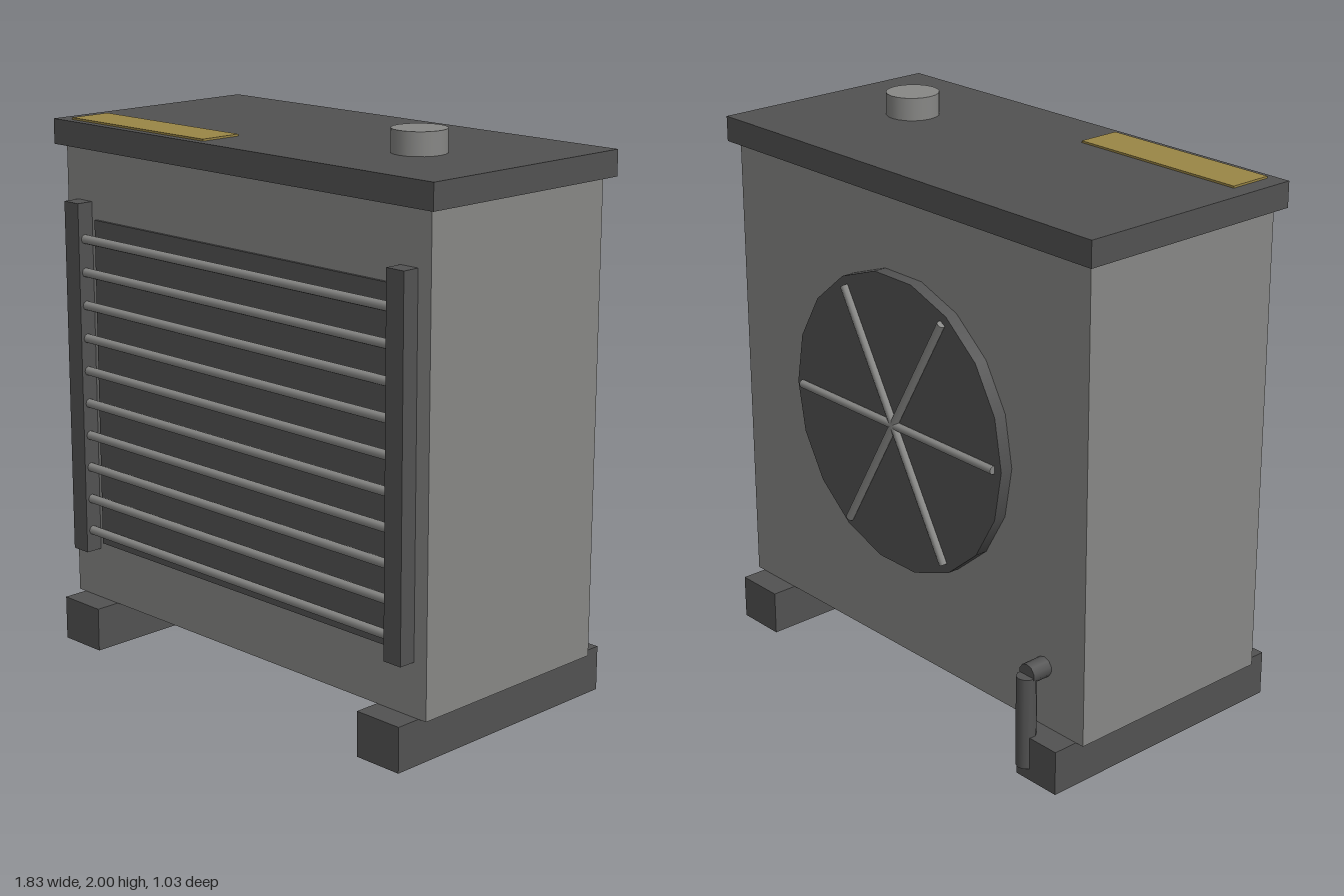
import * as THREE from 'three';

export function createModel() {
  const model = new THREE.Group();
  model.name = 'heatPumpUnit';

  const casingGrey = new THREE.MeshStandardMaterial({ name: 'casingGrey', color: 0x878785 });
  const darkGrey = new THREE.MeshStandardMaterial({ name: 'darkGrey', color: 0x525252 });
  const brass = new THREE.MeshStandardMaterial({ name: 'brass', color: 0x9a8646 });

  const add = (name, geometry, material, x, y, z, parent = model) => {
    const mesh = new THREE.Mesh(geometry, material);
    mesh.name = name;
    mesh.position.set(x, y, z);
    parent.add(mesh);
    return mesh;
  };
  // Box given by its lower and upper corners
  const box = (name, material, [x0, y0, z0], [x1, y1, z1]) =>
    add(name, new THREE.BoxGeometry(x1 - x0, y1 - y0, z1 - z0), material,
      (x0 + x1) / 2, (y0 + y1) / 2, (z0 + z1) / 2);

  // Casing and overhanging lid
  box('casing', casingGrey, [-0.88, 0.16, -0.4], [0.88, 1.83, 0.42]);
  box('lid', darkGrey, [-0.913, 1.83, -0.432], [0.913, 1.92, 0.45]);

  // Lid fittings: name plate and round cap
  box('lidPlate', brass, [-0.847, 1.92, 0.26], [-0.157, 1.927, 0.42]);
  add('lidCap', new THREE.CylinderGeometry(0.094, 0.094, 0.08, 20), casingGrey, 0.5, 1.96, 0.072);

  // Skid feet and the upright rails of the front grille
  for (const [side, s] of [['left', 1], ['right', -1]]) {
    add(side + 'Foot', new THREE.BoxGeometry(0.186, 0.16, 1.005), darkGrey, s * 0.754, 0.08, 0.01);
    add(side + 'GrilleRail', new THREE.BoxGeometry(0.075, 1.29, 0.07), darkGrey, s * 0.787, 0.995, 0.448);
  }

  // Front grille: dark recess panel behind ten round bars
  box('grillePanel', darkGrey, [-0.725, 0.378, 0.415], [0.725, 1.578, 0.43]);
  const barGeometry = new THREE.CylinderGeometry(0.017, 0.017, 1.52, 8).rotateZ(Math.PI / 2);
  for (let i = 0; i < 10; i++) {
    add('grilleBar', barGeometry, casingGrey, 0, 0.43 + i * 0.12, 0.455);
  }

  // Rear fan: disc with three full-width spokes
  const fan = new THREE.Group();
  fan.name = 'fan';
  fan.position.set(0, 1.04, 0);
  model.add(fan);
  const discGeometry = new THREE.CylinderGeometry(0.532, 0.532, 0.05, 18)
    .rotateX(Math.PI / 2).rotateZ(Math.PI / 2);
  add('fanDisc', discGeometry, darkGrey, 0, 0, -0.421, fan);
  const spokeGeometry = new THREE.CylinderGeometry(0.015, 0.015, 1, 8);
  for (let i = 0; i < 3; i++) {
    const spoke = add('fanSpoke', spokeGeometry, casingGrey, 0, 0, -0.452, fan);
    spoke.rotation.z = Math.PI / 2 + i * Math.PI / 3;
  }

  // Drain pipe at the rear: short outlet and a down pipe
  add('drainOutlet', new THREE.CylinderGeometry(0.036, 0.036, 0.1, 10).rotateX(Math.PI / 2),
    darkGrey, -0.692, 0.382, -0.428);
  add('drainPipe', new THREE.CylinderGeometry(0.035, 0.035, 0.335, 10),
    darkGrey, -0.692, 0.21, -0.479);

  return model;
}
